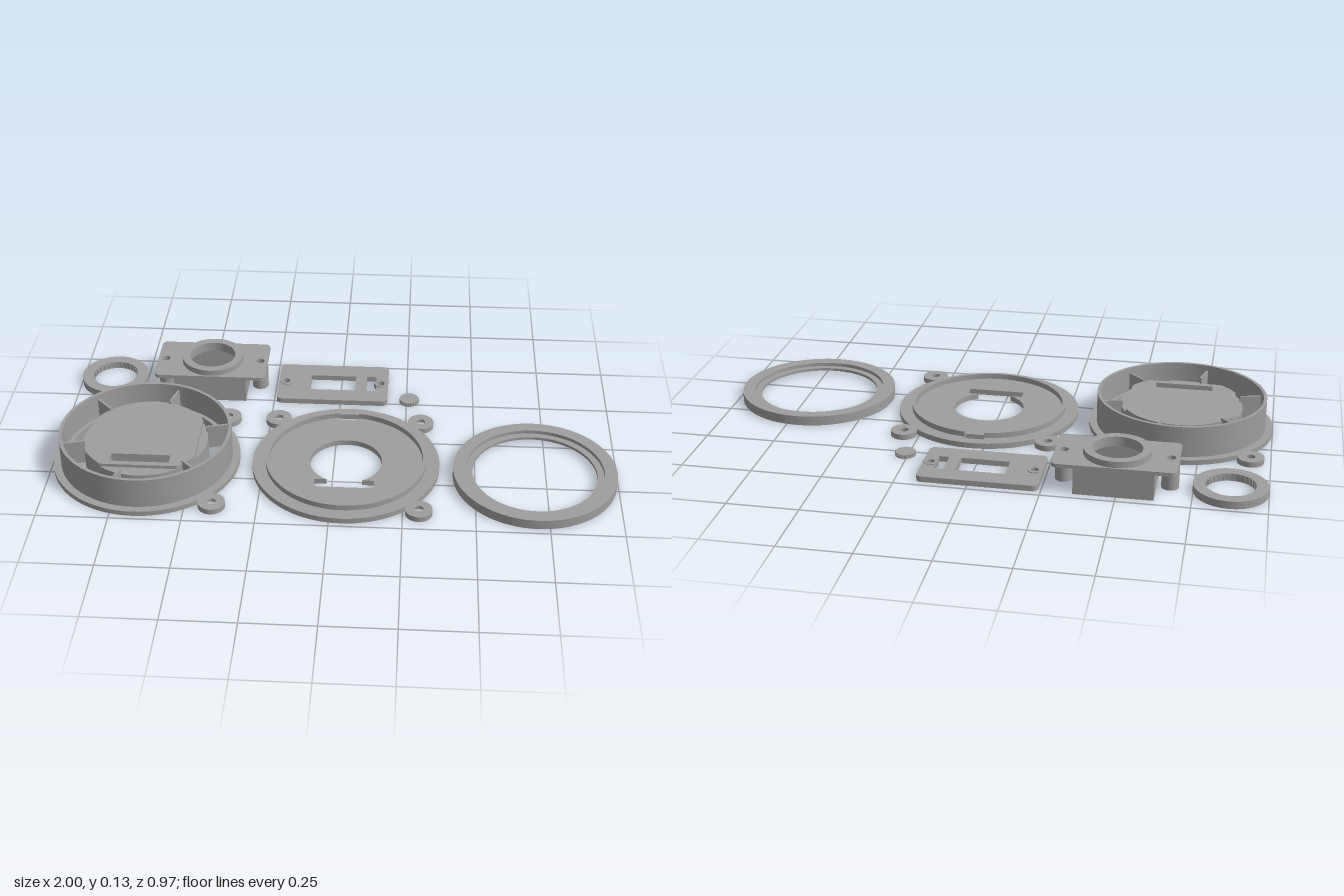
import * as THREE from 'three';

const plastic = new THREE.MeshStandardMaterial({ color: 0x9e9e9e });
plastic.name = 'greyPlastic';
const SEG = 40;

// Outlines are drawn in plan: shape x = model x, shape y = model z
function circle(r, x = 0, z = 0, P = THREE.Shape) {
  return new P().absarc(x, z, r, 0, Math.PI * 2, false);
}
function poly(points, P = THREE.Shape) {
  return new P(points.map(p => new THREE.Vector2(p[0], p[1])));
}
function rect(x0, z0, x1, z1) {
  return poly([[x0, z0], [x1, z0], [x1, z1], [x0, z1]]);
}
function ngon(r, n, x = 0, z = 0) {
  return poly(Array.from({ length: n }, (_, i) => {
    const a = i / n * Math.PI * 2;
    return [x + r * Math.cos(a), z + r * Math.sin(a)];
  }));
}
function roundRect(hx, hz, r) {
  const s = new THREE.Shape();
  s.absarc(hx - r, hz - r, r, 0, Math.PI / 2);
  s.absarc(r - hx, hz - r, r, Math.PI / 2, Math.PI);
  s.absarc(r - hx, r - hz, r, Math.PI, Math.PI * 1.5);
  s.absarc(hx - r, r - hz, r, Math.PI * 1.5, Math.PI * 2);
  return s;
}

// Flat slab from y0 to y1 with optional holes
function slab(group, name, shape, y0, y1, holes = []) {
  shape.holes = holes;
  const g = new THREE.ExtrudeGeometry(shape, { depth: y1 - y0, bevelEnabled: false, curveSegments: SEG });
  g.rotateX(Math.PI / 2).translate(0, y1, 0);
  const m = new THREE.Mesh(g, plastic);
  m.name = name;
  group.add(m);
  return m;
}
function part(root, name, x, z) {
  const g = new THREE.Group();
  g.name = name;
  g.position.set(x, 0, z);
  root.add(g);
  return g;
}

// Three screw lugs with a hexagonal nut pocket underneath
function addLugs(group) {
  for (const [sx, sz] of [[-1, -1], [1, -1], [1, 1]]) {
    const x = sx * 0.262, z = sz * 0.262;
    slab(group, 'lugTop', circle(0.047, x, z), 0.01, 0.02, [circle(0.016, x, z)]);
    slab(group, 'lugPocket', circle(0.047, x, z), 0, 0.01, [ngon(0.028, 6, x, z)]);
  }
}

function housing(root) {
  const g = part(root, 'housing', -0.668, 0.152);
  const prof = [[0.278, 0], [0.332, 0], [0.332, 0.018], [0.305, 0.018], [0.305, 0.13],
    [0.293, 0.13], [0.293, 0.035], [0.278, 0.035], [0.278, 0]];
  // separate bands keep every edge of the turned wall sharp
  for (let i = 0; i < prof.length - 1; i++) {
    const geo = new THREE.LatheGeometry([prof[i], prof[i + 1]].map(p => new THREE.Vector2(...p)), 96);
    const m = new THREE.Mesh(geo, plastic);
    m.name = 'housingWall';
    g.add(m);
  }
  addLugs(g);
  // central drum with a flat-sided platform and a cable slot
  const slot = () => rect(-0.104, 0.112, 0.104, 0.155);
  slab(g, 'drum', circle(0.22), 0, 0.088, [slot()]);
  const pts = Array.from({ length: 96 }, (_, i) => {
    const a = i / 96 * Math.PI * 2;
    return [THREE.MathUtils.clamp(0.22 * Math.cos(a), -0.19, 0.19), Math.min(0.22 * Math.sin(a), 0.175)];
  });
  slab(g, 'platform', poly(pts), 0.088, 0.1, [slot()]);
  // spokes joining drum and wall
  for (let i = 0; i < 6; i++) {
    const s = slab(g, 'spoke', rect(0.215, -0.004, 0.295, 0.004), 0.02, 0.11);
    s.rotation.y = -(45 + i * 60) * Math.PI / 180;
  }
}

function basePlate(root) {
  const g = part(root, 'basePlate', 0.043, 0.152);
  // keyhole opening: round hole running into a cable slot
  const a0 = Math.asin(0.112 / 0.128);
  const key = [];
  for (let i = 0; i <= 60; i++) {
    const a = Math.PI - a0 + i / 60 * (Math.PI + 2 * a0);
    key.push([0.128 * Math.cos(a), 0.128 * Math.sin(a)]);
  }
  key.push([0.104, 0.112], [0.104, 0.155], [-0.104, 0.155], [-0.104, 0.112]);
  slab(g, 'plate', circle(0.332), 0, 0.02, [poly(key), rect(-0.035, -0.294, 0.035, -0.257)]);
  // locating rim, interrupted at the notch
  const d = 0.125, rim = new THREE.Shape();
  rim.absarc(0, 0, 0.285, -Math.PI / 2 + d, Math.PI * 1.5 - d, false);
  rim.absarc(0, 0, 0.273, Math.PI * 1.5 - d, -Math.PI / 2 + d, true);
  slab(g, 'locatingRim', rim, 0.02, 0.04);
  addLugs(g);
}

function coverRing(root) {
  const g = part(root, 'coverRing', 0.71, 0.188);
  slab(g, 'ringBody', circle(0.288), 0.012, 0.035, [circle(0.243)]);
  slab(g, 'ringLedge', circle(0.265), 0.012, 0.022, [circle(0.219)]);
  slab(g, 'ringSkirt', circle(0.288), 0, 0.012, [circle(0.268)]);
}

function smallRing(root) {
  const g = part(root, 'smallRing', -0.873, -0.358);
  slab(g, 'smallRingBody', circle(0.126), 0, 0.027, [circle(0.085)]);
  // fine grip ribs on the inside
  for (let i = 0; i < 30; i++) {
    const rib = slab(g, 'gripRib', rect(0.082, -0.003, 0.087, 0.003), 0.004, 0.023);
    rib.rotation.y = i / 30 * Math.PI * 2;
  }
}

function bracket(root) {
  const g = part(root, 'bracket', -0.4915, -0.356);
  slab(g, 'bracketPlate', roundRect(0.209, 0.12, 0.02), 0.095, 0.108,
    [circle(0.085), circle(0.016, -0.18), circle(0.016, 0.18)]);
  slab(g, 'collar', circle(0.115), 0.108, 0.13, [circle(0.085)]);
  slab(g, 'openBox', rect(-0.135, -0.115, 0.135, 0.115), 0, 0.095, [rect(-0.123, -0.103, 0.123, 0.103)]);
  for (const x of [-0.18, 0.18]) {
    slab(g, 'screwPost', circle(0.03, x), 0, 0.095, [circle(0.016, x)]);
  }
}

function facePlate(root) {
  const g = part(root, 'facePlate', -0.0315, -0.356);
  slab(g, 'facePlateBody', roundRect(0.209, 0.12, 0.02), 0, 0.02, [
    rect(-0.087, -0.047, 0.085, 0.05), rect(0.127, -0.047, 0.163, 0.05),
    circle(0.015, -0.18), circle(0.015, 0.182)]);
  // hexagonal seats around the screw holes
  for (const x of [-0.18, 0.182]) {
    slab(g, 'hexSeat', ngon(0.027, 6, x), 0.004, 0.023, [circle(0.014, x)]);
  }
}

function knurledDisc(root) {
  const g = part(root, 'knurledDisc', 0.26, -0.273);
  slab(g, 'discBase', circle(0.037), 0, 0.005);
  const pts = Array.from({ length: 48 }, (_, i) => {
    const a = i / 48 * Math.PI * 2, r = i % 2 ? 0.034 : 0.037;
    return [r * Math.cos(a), r * Math.sin(a)];
  });
  slab(g, 'discKnurl', poly(pts), 0.005, 0.013);
}

export function createModel() {
  const root = new THREE.Group();
  root.name = 'enclosureParts';
  for (const build of [housing, basePlate, coverRing, smallRing, bracket, facePlate, knurledDisc]) build(root);
  return root;
}
